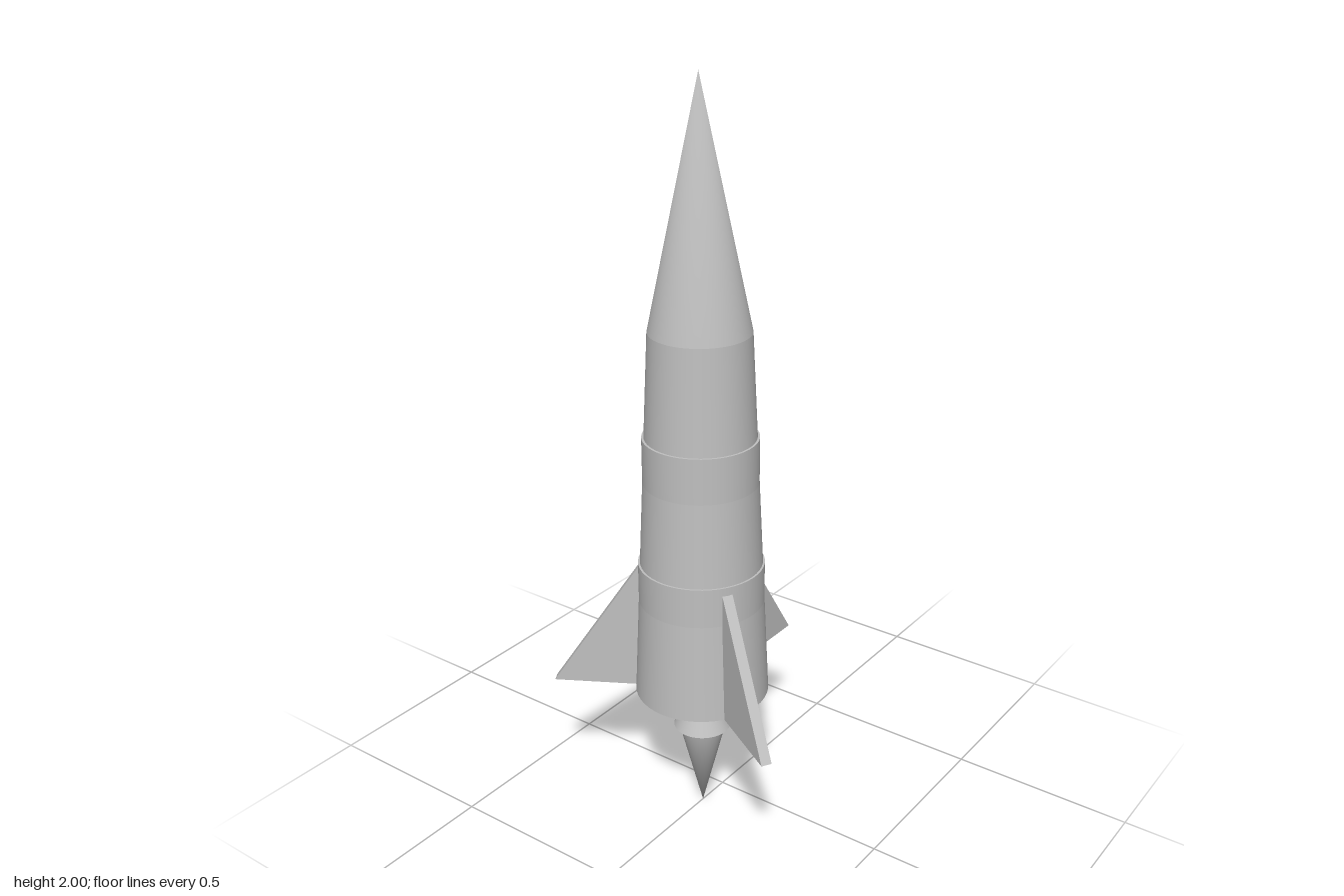
import * as THREE from 'three';
import { mergeVertices } from 'three/addons/utils/BufferGeometryUtils.js';

const SIDES = 48;

export function createModel() {
  const rocket = new THREE.Group();
  rocket.name = 'rocket';
  rocket.position.z = 0.093; // the three fins set the centre behind the hull axis

  const grey = new THREE.MeshStandardMaterial({ color: 0xbfbfbf });
  grey.name = 'grey';

  const add = (name, geometry) => {
    const mesh = new THREE.Mesh(geometry, grey);
    mesh.name = name;
    rocket.add(mesh);
    return mesh;
  };

  // Capped frustum between two heights
  const frustum = (rBottom, yBottom, rTop, yTop) =>
    new THREE.CylinderGeometry(rTop, rBottom, yTop - yBottom, SIDES)
      .translate(0, (yTop + yBottom) / 2, 0);

  // Open cone with a shared, rounded-looking tip
  const smoothCone = (radius, height) => {
    const cone = new THREE.ConeGeometry(radius, height, SIDES, 1, true);
    cone.deleteAttribute('normal');
    cone.deleteAttribute('uv');
    const merged = mergeVertices(cone);
    merged.computeVertexNormals();
    return merged;
  };

  // Hull: one tapering body with two straight bands that sink into it
  add('body', frustum(0.178, 0.375, 0.13, 1.38));
  add('lowerBand', frustum(0.165, 0.62, 0.165, 0.755));
  add('upperBand', frustum(0.149, 0.96, 0.149, 1.105));
  add('noseCone', smoothCone(0.13, 0.62).translate(0, 1.69, 0));

  // Engine: waisted nozzle and pointed exhaust
  add('nozzleNeck', frustum(0.04, 0.335, 0.046, 0.38));
  add('nozzleBell', frustum(0.077, 0.255, 0.04, 0.335));
  add('exhaust', smoothCone(0.064, 0.257).rotateX(Math.PI).translate(0, 0.1285, 0));

  // Three swept fins
  const profile = new THREE.Shape([
    new THREE.Vector2(0.155, 0.375),
    new THREE.Vector2(0.401, 0.375),
    new THREE.Vector2(0.163, 0.735),
    new THREE.Vector2(0.155, 0.735),
  ]);
  const finGeometry = new THREE.ExtrudeGeometry(profile, { depth: 0.028, bevelEnabled: false })
    .translate(0, 0, -0.014);
  ['backFin', 'rightFin', 'leftFin'].forEach((name, i) => {
    add(name, finGeometry).rotation.y = Math.PI / 2 + (i * 2 * Math.PI) / 3;
  });

  const model = new THREE.Group();
  model.name = 'model';
  model.add(rocket);
  return model;
}
